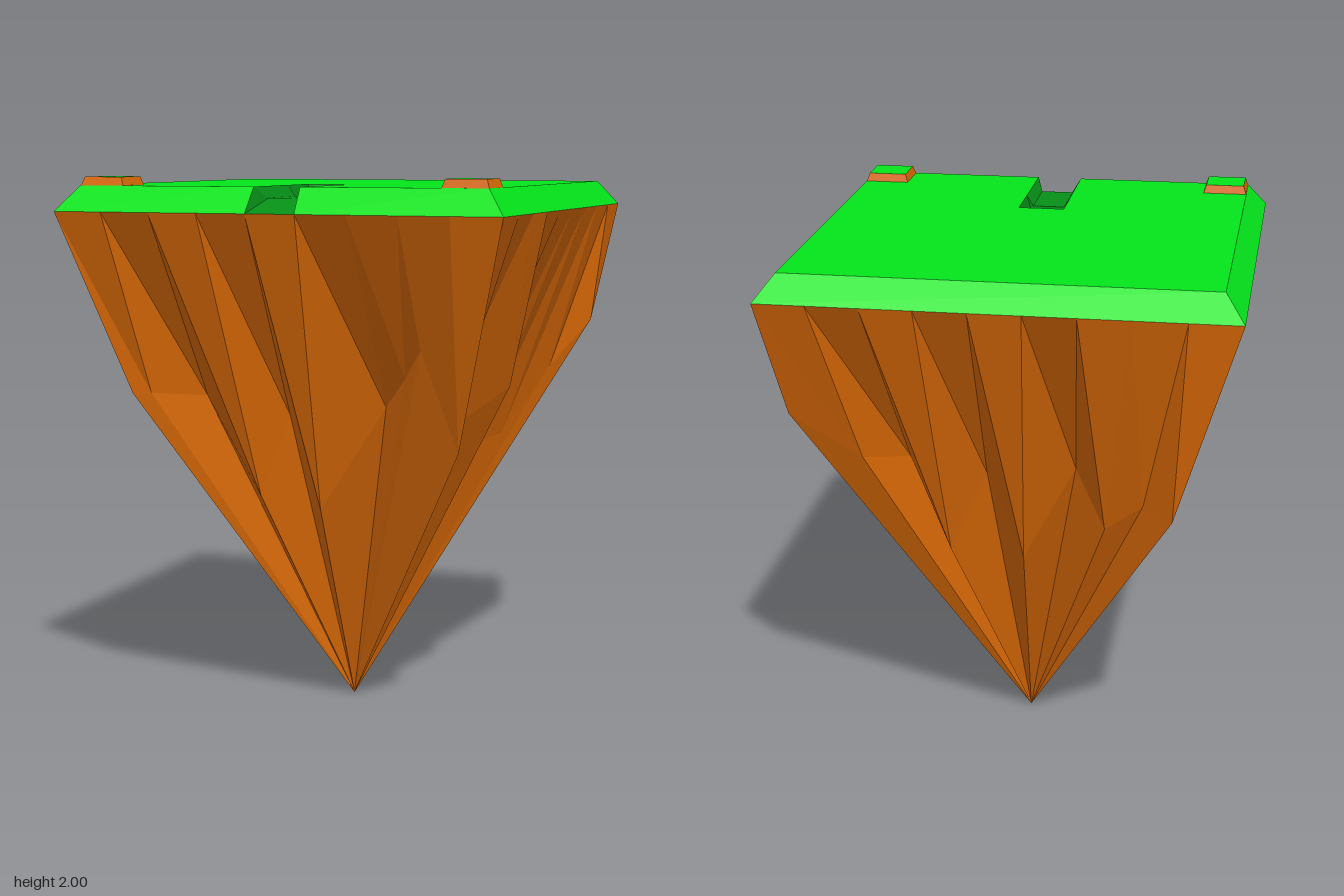
import * as THREE from 'three';

const GREEN = 0x04e61c, DARK_GREEN = 0x079018, PIT_GREEN = 0x0a5210, BROWN = 0xdb6a06;
const RIM = 0.82, TOP = 0.75, LIP_Y = 1.88, TOP_Y = 1.97;

const material = (color, side = THREE.FrontSide) =>
  new THREE.MeshStandardMaterial({ color, flatShading: true, side });

// Faceted mesh from triangles and quads given by their corner points
function facetMesh(name, faces, mat) {
  const pos = [];
  for (const [a, b, c, d] of faces) {
    pos.push(...a, ...b, ...c);
    if (d) pos.push(...a, ...c, ...d);
  }
  const geo = new THREE.BufferGeometry();
  geo.setAttribute('position', new THREE.Float32BufferAttribute(pos, 3));
  geo.computeVertexNormals();
  const mesh = new THREE.Mesh(geo, mat);
  mesh.name = name;
  return mesh;
}

// Rock: square rim, ring of alternating ridges and valleys, single point below
function makeRock() {
  // Each side: its first corner [x, y, z], then [distance along, height, distance out] of the folds
  const sides = [
    { corner: [-0.63, 1.22, 0.61], folds: [[-0.57, 1.22, 0.58], [-0.42, 1.2, 0.42], [-0.2, 0.84, 0.44], [-0.1, 1.14, 0.4], [0.03, 0.8, 0.43], [0.26, 1.18, 0.37], [0.37, 1.3, 0.48], [0.46, 1.41, 0.58]] },
    { corner: [0.58, 1.05, 0.52], folds: [[-0.46, 1.06, 0.5], [-0.41, 1.05, 0.42], [-0.16, 1.25, 0.66], [-0.06, 1.07, 0.46], [0.14, 0.95, 0.36], [0.24, 0.98, 0.42], [0.35, 1.0, 0.48], [0.5, 1.25, 0.63]] },
    { corner: [0.76, 1.43, -0.64], folds: [[-0.52, 1.25, 0.56], [-0.38, 1.2, 0.4], [-0.23, 0.86, 0.44], [-0.1, 1.15, 0.4], [0.04, 0.85, 0.45], [0.22, 1.18, 0.38], [0.34, 1.0, 0.5], [0.48, 1.12, 0.56]] },
    { corner: [-0.59, 1.1, -0.64], folds: [[-0.5, 1.1, 0.52], [-0.38, 1.18, 0.4], [-0.2, 0.88, 0.45], [-0.08, 1.15, 0.4], [0.06, 0.9, 0.46], [0.22, 1.18, 0.38], [0.36, 1.0, 0.5], [0.5, 1.15, 0.58]] },
  ];
  const upper = [], middle = [];
  sides.forEach(({ corner, folds }, s) => {
    const turn = (along, y, out) => [
      [along, y, out], [out, y, -along], [-along, y, -out], [-out, y, along],
    ][s];
    upper.push(turn(-RIM, LIP_Y, RIM));
    middle.push(corner);
    folds.forEach((fold, i) => {
      upper.push(turn(-RIM + (i + 1) * RIM * 2 / 9, LIP_Y, RIM));
      middle.push(turn(...fold));
    });
  });
  const tip = [0, 0, 0], faces = [];
  upper.forEach((p, i) => {
    const j = (i + 1) % upper.length;
    faces.push([p, middle[i], middle[j]], [p, middle[j], upper[j]], [middle[i], tip, middle[j]]);
  });
  return facetMesh('rock', faces, material(BROWN));
}

// Grass slab: flat top with a notch and sloping edges
function makeGrass() {
  const group = new THREE.Group();
  group.name = 'grass';
  const outline = [[-TOP, 0.75], [-0.085, 0.75], [-0.085, 0.25], [0.085, 0.25], [0.085, 0.75], [TOP, 0.75], [TOP, -TOP], [-TOP, -TOP]];
  const shape = new THREE.Shape(outline.map(([x, z]) => new THREE.Vector2(x, -z)));
  const top = new THREE.Mesh(new THREE.ShapeGeometry(shape).rotateX(-Math.PI / 2), material(GREEN));
  top.position.y = TOP_Y;
  top.name = 'grassTop';

  const lo = (x, z) => [x, LIP_Y, z], hi = (x, z) => [x, TOP_Y, z];
  const edges = facetMesh('grassEdges', [
    [lo(-RIM, RIM), lo(-0.09, RIM), hi(-0.085, TOP), hi(-TOP, TOP)],
    [lo(0.09, RIM), lo(RIM, RIM), hi(TOP, TOP), hi(0.085, TOP)],
    [lo(RIM, RIM), lo(RIM, -RIM), hi(TOP, -TOP), hi(TOP, TOP)],
    [lo(RIM, -RIM), lo(-RIM, -RIM), hi(-TOP, -TOP), hi(TOP, -TOP)],
    [lo(-RIM, -RIM), lo(-RIM, RIM), hi(-TOP, TOP), hi(-TOP, -TOP)],
  ], material(GREEN));

  // Channel stations: floor [half width, y, z], then rim [half width, y, z]
  const stations = [
    [[0.085, TOP_Y, 0.25], [0.085, TOP_Y, 0.25]],
    [[0.06, 1.89, 0.31], [0.085, TOP_Y, 0.31]],
    [[0.06, 1.89, 0.44], [0.085, TOP_Y, 0.44]],
    [[0.06, 1.93, 0.44], [0.085, TOP_Y, 0.44]],
    [[0.06, 1.93, 0.68], [0.085, TOP_Y, 0.75]],
    [[0.09, LIP_Y, 0.82], [0.09, LIP_Y, 0.82]],
  ];
  const flip = ([x, y, z]) => [-x, y, z];
  const floors = [], walls = [];
  for (let i = 0; i < stations.length - 1; i++) {
    const [f0, r0] = stations[i], [f1, r1] = stations[i + 1];
    floors.push([flip(f0), flip(f1), f1, f0]);
    walls.push([f0, f1, r1, r0], [flip(r0), flip(r1), flip(f1), flip(f0)]);
  }
  const [backWall, pitFloor, ...path] = floors;
  group.add(top, edges,
    facetMesh('channel', [backWall, ...path, ...walls], material(DARK_GREEN, THREE.DoubleSide)),
    facetMesh('pitFloor', [pitFloor], material(PIT_GREEN)));
  return group;
}

// Small corner block: tapered earth sides with a grass cap
function makeBlock(side) {
  const group = new THREE.Group();
  group.name = side > 0 ? 'leftBlock' : 'rightBlock';
  const sides = new THREE.Mesh(
    new THREE.CylinderGeometry(0.072 * Math.SQRT2, 0.082 * Math.SQRT2, 0.03, 4, 1, true).rotateY(Math.PI / 4),
    material(BROWN));
  sides.name = 'blockSides';
  const cap = new THREE.Mesh(new THREE.PlaneGeometry(0.144, 0.144).rotateX(-Math.PI / 2), material(GREEN));
  cap.position.y = 0.015;
  cap.name = 'blockCap';
  group.add(sides, cap);
  group.position.set(side * 0.667, TOP_Y + 0.015, 0.665);
  return group;
}

export function createModel() {
  const model = new THREE.Group();
  model.name = 'floatingIsland';
  model.add(makeRock(), makeGrass(), makeBlock(-1), makeBlock(1));
  return model;
}
